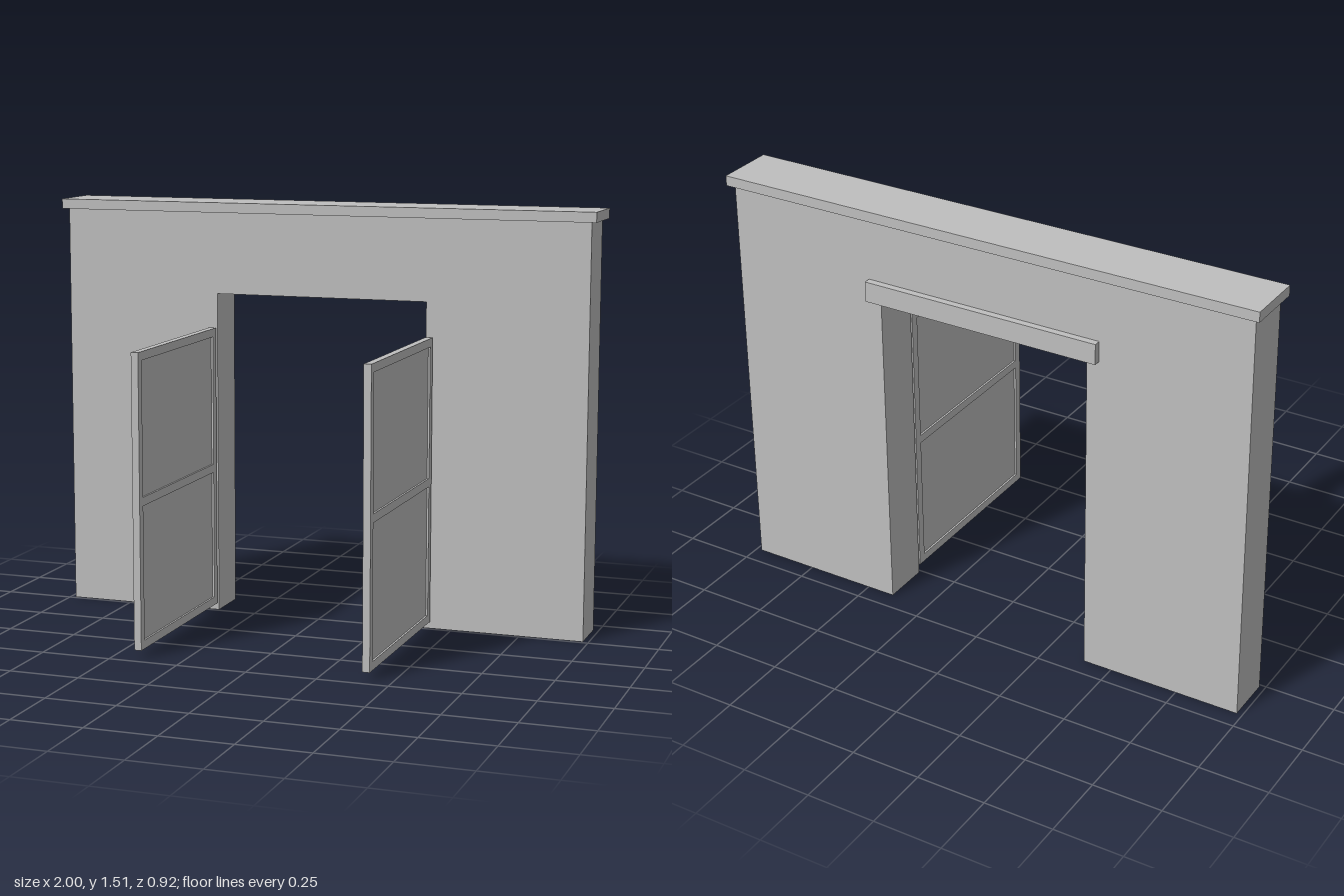
import * as THREE from 'three';

export function createModel() {
  const model = new THREE.Group();
  model.name = 'gateway';
  const grey = new THREE.MeshStandardMaterial({ color: 0xbfbfbf });
  grey.name = 'plain grey';

  // Box given by its minimum and maximum corners
  function box(parent, name, [x0, y0, z0], [x1, y1, z1]) {
    const mesh = new THREE.Mesh(new THREE.BoxGeometry(x1 - x0, y1 - y0, z1 - z0), grey);
    mesh.position.set((x0 + x1) / 2, (y0 + y1) / 2, (z0 + z1) / 2);
    mesh.name = name;
    parent.add(mesh);
  }

  // Wall with a doorway open at the ground
  const outline = new THREE.Shape([
    [-0.98, 0], [-0.395, 0], [-0.395, 1.18], [0.395, 1.18],
    [0.395, 0], [0.98, 0], [0.98, 1.475], [-0.98, 1.475],
  ].map(([x, y]) => new THREE.Vector2(x, y)));
  const wall = new THREE.Mesh(
    new THREE.ExtrudeGeometry(outline, { depth: 0.172, bevelEnabled: false }), grey);
  wall.position.z = -0.433;
  wall.name = 'wall';
  model.add(wall);

  // Coping along the top and lintel on the back
  box(model, 'coping', [-1, 1.475, -0.454], [1, 1.511, -0.242]);
  box(model, 'lintel', [-0.44, 1.18, -0.458], [0.44, 1.253, -0.433]);

  // Two open gate leaves: frame, middle rail and recessed panels
  const half = 0.013, border = 0.03;
  const bottom = 0.027, top = 1.056, back = -0.25, front = 0.459;
  const middle = (bottom + top) / 2;
  for (const side of [1, -1]) {
    const leaf = new THREE.Group();
    leaf.name = side > 0 ? 'leftGate' : 'rightGate';
    leaf.position.x = side * 0.41;

    box(leaf, 'hingeStile', [-half, bottom, back], [half, top, back + border]);
    box(leaf, 'outerStile', [-half, bottom, front - border], [half, top, front]);
    const rails = { bottomRail: bottom, middleRail: middle - border / 2, topRail: top - border };
    for (const [name, y] of Object.entries(rails)) {
      box(leaf, name, [-half, y, back + border], [half, y + border, front - border]);
    }
    const panels = {
      lowerPanel: [bottom + border, middle - border / 2],
      upperPanel: [middle + border / 2, top - border],
    };
    for (const [name, [y0, y1]] of Object.entries(panels)) {
      box(leaf, name, [-0.006, y0, back + border], [0.006, y1, front - border]);
    }
    model.add(leaf);
  }
  return model;
}
